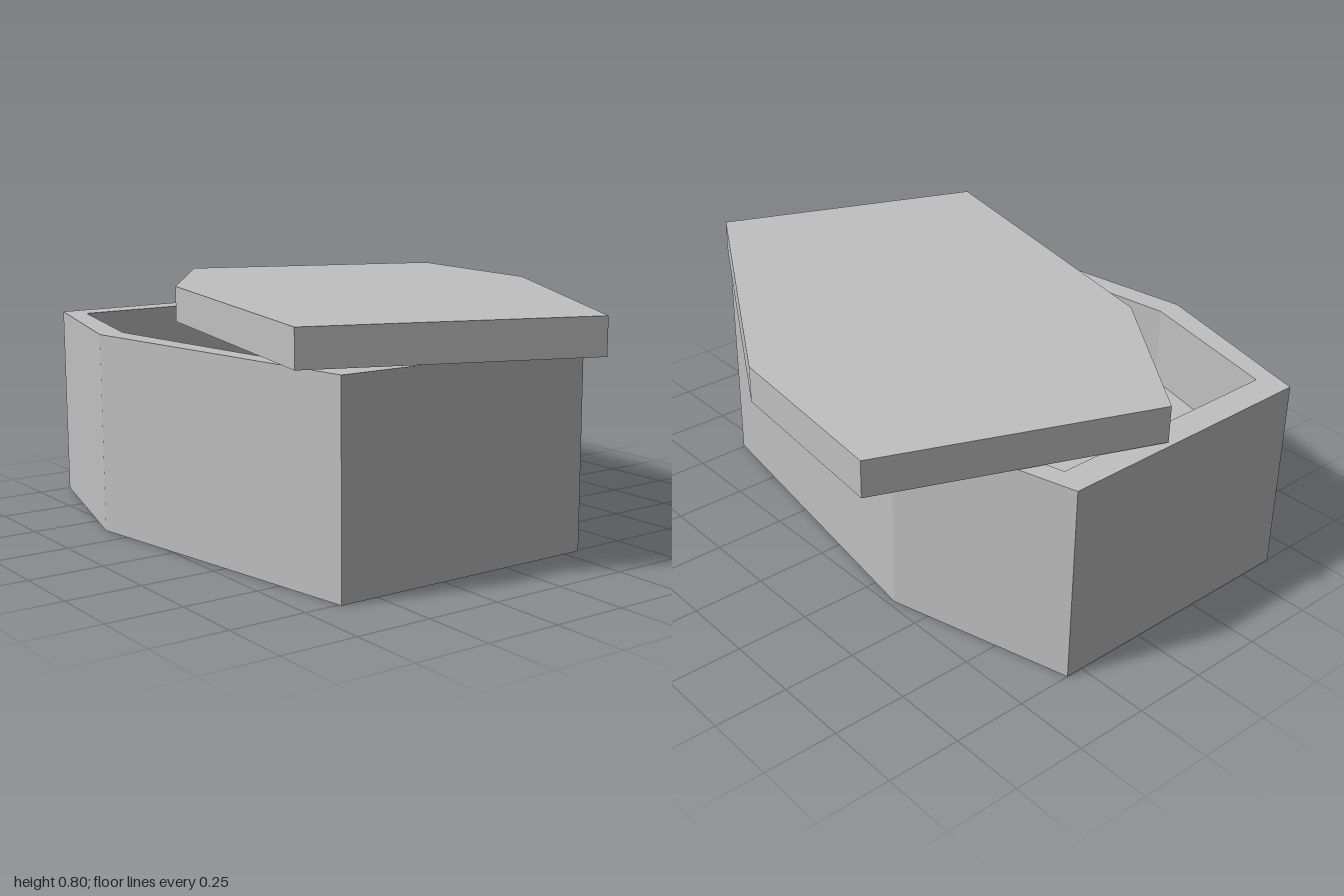
import * as THREE from 'three';

// Footprints are given as [x, z] corners.
const outerOutline = [[-1, 0.63], [-0.37, 0.8], [0.76, 0.63], [0.76, -0.31], [-0.37, -0.48], [-1, -0.31]];
const innerOutline = [[-0.9, 0.585], [-0.37, 0.715], [0.66, 0.585], [0.66, -0.265], [-0.37, -0.395], [-0.9, -0.265]];
const lidOutline = [[-0.99, 0.075], [-0.46, 0.46], [0.655, 0.715], [1, -0.17], [0.005, -0.735], [-0.645, -0.805]];

const toPoints = (outline) => outline.map(([x, z]) => new THREE.Vector2(x, -z));

// Upright slab from y0 to y1, with an optional opening through it
function slab(name, material, outline, y0, y1, opening) {
  const shape = new THREE.Shape(toPoints(outline));
  if (opening) shape.holes.push(new THREE.Path(toPoints(opening)));
  const geometry = new THREE.ExtrudeGeometry(shape, { depth: y1 - y0, bevelEnabled: false });
  geometry.rotateX(-Math.PI / 2).translate(0, y0, 0);
  const mesh = new THREE.Mesh(geometry, material);
  mesh.name = name;
  return mesh;
}

export function createModel() {
  const stone = new THREE.MeshStandardMaterial({ color: 0xc0c0c0 });
  stone.name = 'pale grey stone';

  const model = new THREE.Group();
  model.name = 'openCoffin';

  // Solid base and hollow walls
  const floorY = 0.4;
  const rimY = 0.67;
  model.add(slab('base', stone, outerOutline, 0, floorY));
  model.add(slab('walls', stone, outerOutline, floorY, rimY, innerOutline));

  // Lid, turned askew above the rim
  model.add(slab('lid', stone, lidOutline, 0.677, 0.8));
  return model;
}
